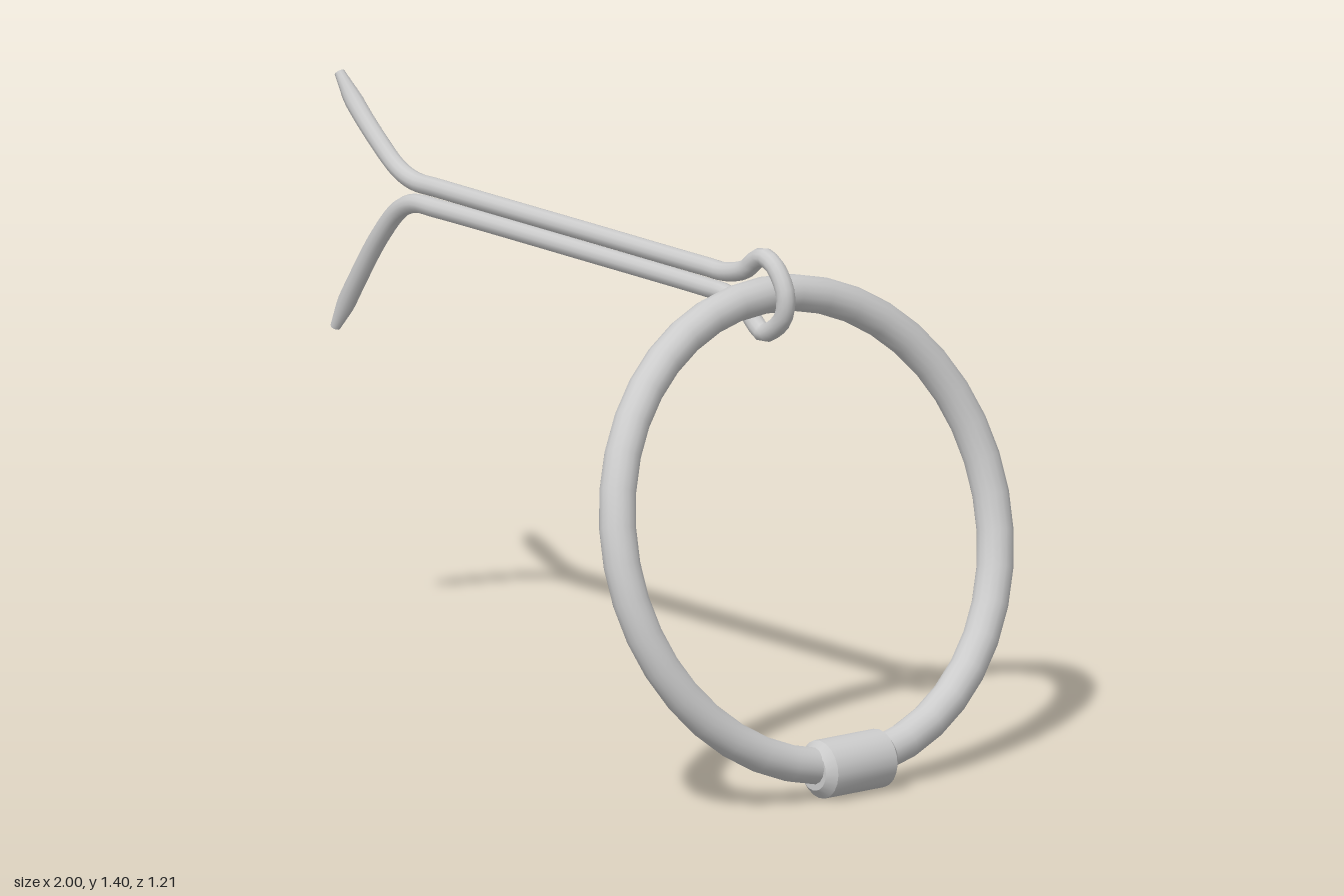
import * as THREE from 'three';
import { toCreasedNormals } from 'three/addons/utils/BufferGeometryUtils.js';

const material = new THREE.MeshStandardMaterial({ color: 0xcccccc });

function addMesh(parent, name, geometry) {
  const mesh = new THREE.Mesh(geometry, material);
  mesh.name = name;
  parent.add(mesh);
  return mesh;
}

// Round wire along a path, with narrowed, closed tips
function wireGeometry(points, radius, segments, sides) {
  const curve = new THREE.CatmullRomCurve3(
    points.map(([x, y]) => new THREE.Vector3(x, y, 0)), false, 'centripetal');
  curve.arcLengthDivisions = 800;
  const geometry = new THREE.TubeGeometry(curve, segments, radius, sides);
  const position = geometry.attributes.position;
  const taper = [0, 0.55, 0.8, 0.93];
  const v = new THREE.Vector3();
  for (let i = 0; i <= segments; i++) {
    const fromEnd = Math.min(i, segments - i);
    if (fromEnd >= taper.length) continue;
    const centre = curve.getPointAt(i / segments);
    // the first two rings share one plane, which closes the tip with a flat disc
    const target = fromEnd > 1 ? centre : curve.getPointAt(Math.round(i / segments));
    for (let j = 0; j <= sides; j++) {
      const k = i * (sides + 1) + j;
      v.fromBufferAttribute(position, k).sub(centre).multiplyScalar(taper[fromEnd]).add(target);
      position.setXYZ(k, v.x, v.y, v.z);
    }
  }
  return geometry;
}

export function createModel() {
  const model = new THREE.Group();
  model.name = 'ringOnSplitPin';

  // Split pin: upper leg, eye around the ring, lower leg
  const pinPath = [
    [-0.97, 1.39], [-0.91, 1.325], [-0.83, 1.255], [-0.75, 1.198], [-0.69, 1.179], [-0.6, 1.178],
    [0, 1.178], [0.4, 1.178], [0.47, 1.179], [0.545, 1.2], [0.58, 1.228], [0.61, 1.242],
    [0.65, 1.228], [0.682, 1.19], [0.694, 1.155], [0.685, 1.11], [0.655, 1.078], [0.61, 1.058],
    [0.585, 1.07], [0.545, 1.105], [0.47, 1.126], [0.4, 1.128],
    [0, 1.129], [-0.6, 1.128], [-0.69, 1.125], [-0.745, 1.1], [-0.82, 1.02], [-0.9, 0.905], [-0.985, 0.77],
  ];
  addMesh(model, 'splitPin', wireGeometry(pinPath, 0.023, 180, 12));

  // Hanging ring, its lower side swung outwards
  const pull = new THREE.Group();
  pull.name = 'pullRing';
  pull.position.set(0.77, 0.61, 0);
  pull.rotation.z = 0.288;
  model.add(pull);
  const ringRadius = 0.562;
  addMesh(pull, 'ring', new THREE.TorusGeometry(ringRadius, 0.044, 16, 40)).rotation.y = Math.PI / 2;

  // Chamfered sleeve over the joint of the ring
  const profile = [[0, -0.11], [0.048, -0.11], [0.07, -0.09], [0.07, 0.09], [0.048, 0.11], [0, 0.11]]
    .map(([r, y]) => new THREE.Vector2(r, y));
  const sleeve = addMesh(pull, 'sleeve', toCreasedNormals(new THREE.LatheGeometry(profile, 20), 0.5));
  sleeve.position.y = -ringRadius;
  sleeve.rotation.x = Math.PI / 2;

  return model;
}
